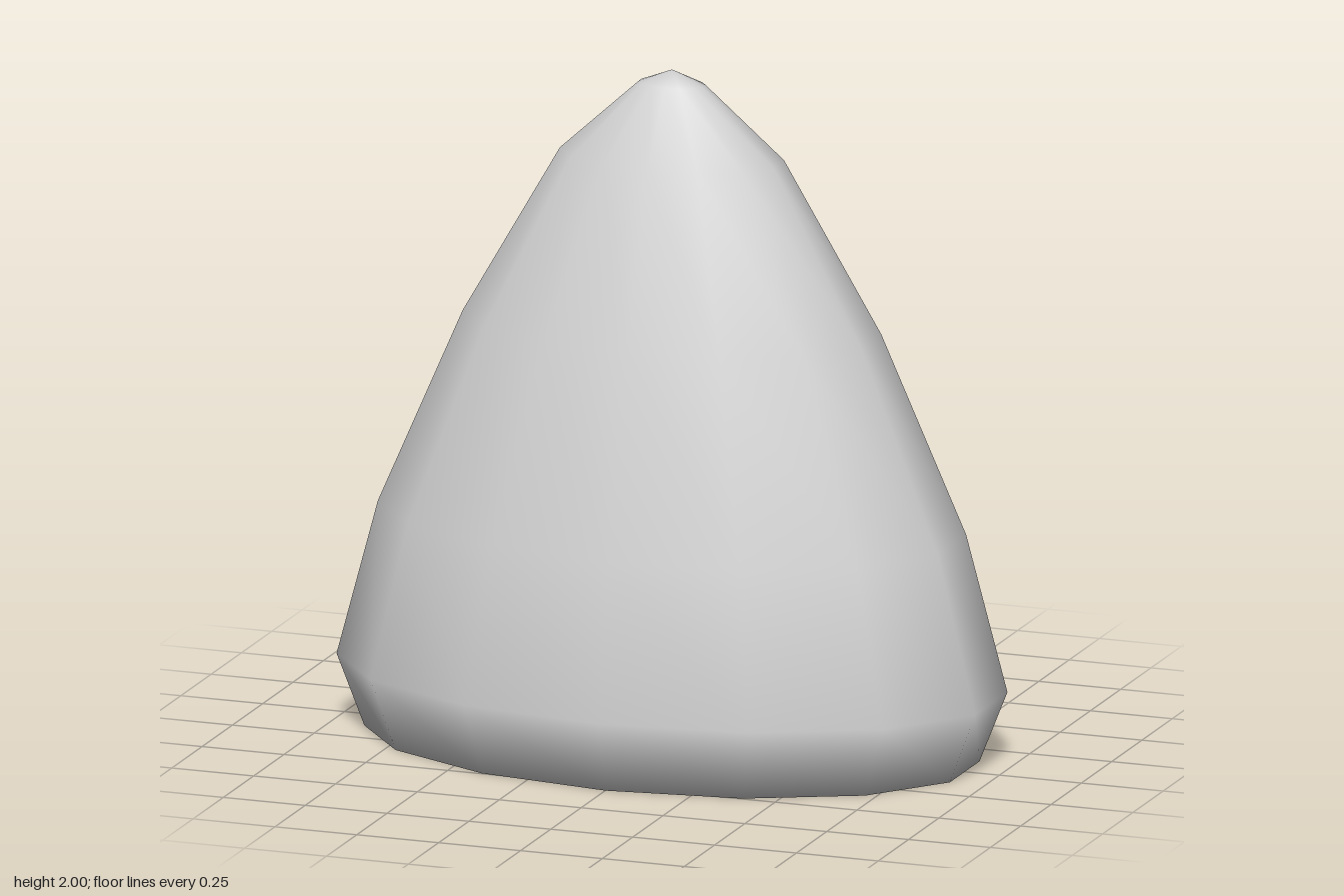
import * as THREE from 'three';
import { mergeVertices } from 'three/addons/utils/BufferGeometryUtils.js';

const SIDES = 14;
const DEPTH = 0.6; // z radius relative to x radius

export function createModel() {
  const group = new THREE.Group();
  group.name = 'stone';
  const paleGrey = new THREE.MeshStandardMaterial({ color: 0xd2d2d2 });
  paleGrey.name = 'paleGrey';

  // Profile from the flat base, over the widest ring, up to the blunt tip
  const profile = [
    [0, 0], [0.917, 0], [1, 0.21], [0.877, 0.67],
    [0.624, 1.25], [0.334, 1.75], [0.1, 1.96], [0, 2],
  ].map(([r, y]) => new THREE.Vector2(r, y));

  // Flattened lathe, welded so the whole surface shades smoothly
  let geometry = new THREE.LatheGeometry(profile, SIDES);
  geometry.scale(1, 1, DEPTH);
  geometry.deleteAttribute('uv');
  geometry.deleteAttribute('normal');
  geometry = mergeVertices(geometry, 1e-4);
  geometry.computeVertexNormals();

  const body = new THREE.Mesh(geometry, paleGrey);
  body.name = 'stoneBody';
  group.add(body);
  return group;
}
